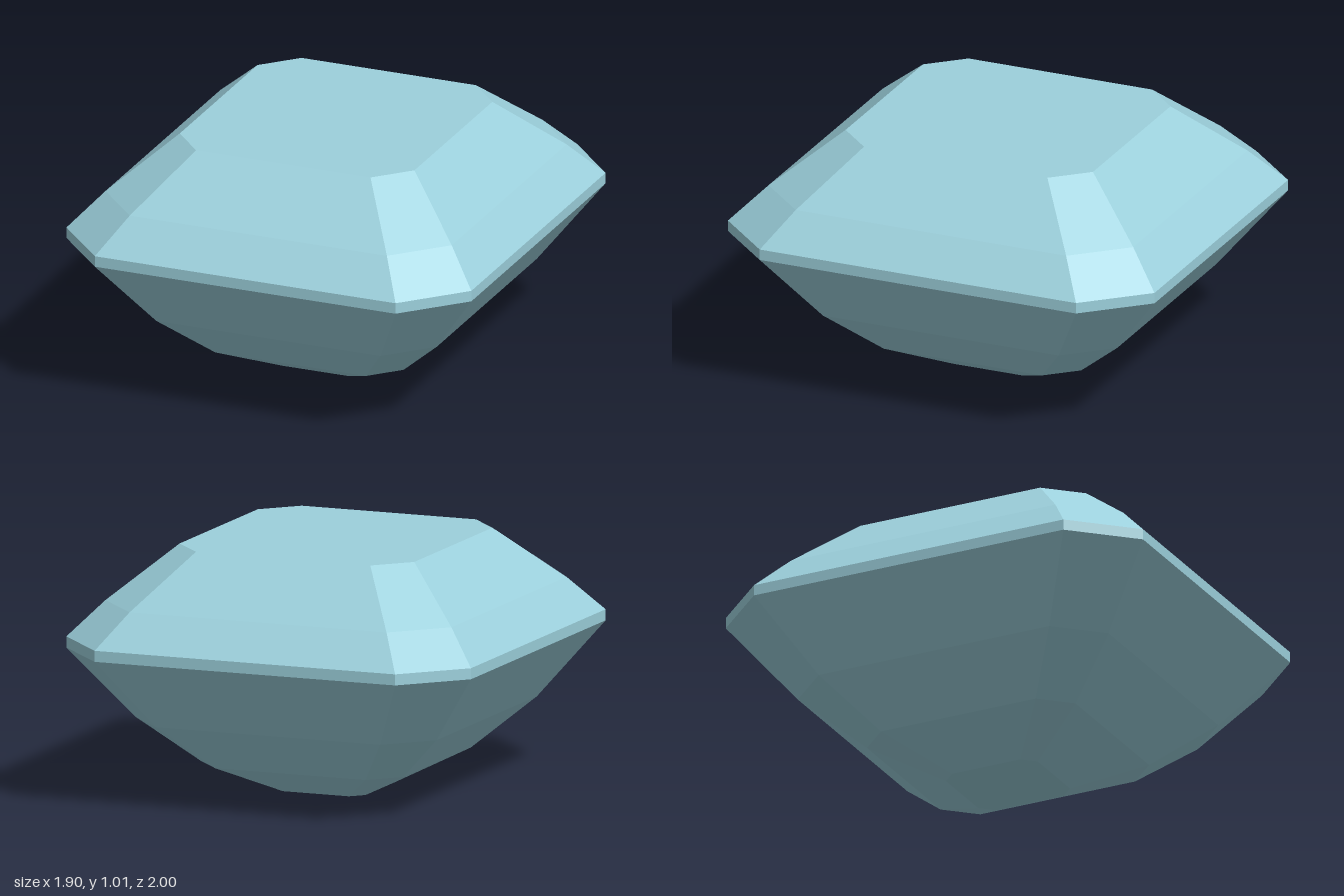
import * as THREE from 'three';

// Half of the eight-cornered outline at the girdle (x, z); the rest is its half turn.
const half = [[-0.548, -1], [0.75, -0.858], [0.948, -0.592], [0.8, 0.785]];
const outline = [...half, ...half.map(([x, z]) => [-x, -z])];

// Rings of the cut: [scale of the outline, height]
const pavilionRings = [[0.22, 0], [0.5, 0.125], [0.745, 0.32], [1, 0.615]];
const girdleRings = [[1, 0.615], [1, 0.66]];
const crownRings = [[1, 0.66], [0.855, 0.8], [0.58, 1.015]];

const corner = (i, [scale, y]) => {
  const [x, z] = outline[i % outline.length];
  return [x * scale, y, z * scale];
};

function facetGeometry(positions) {
  const geometry = new THREE.BufferGeometry();
  geometry.setAttribute('position', new THREE.Float32BufferAttribute(positions.flat(), 3));
  geometry.computeVertexNormals();
  return geometry;
}

// Flat facets joining each ring to the one above it
function bands(rings) {
  const positions = [];
  for (let r = 0; r < rings.length - 1; r++) {
    for (let i = 0; i < outline.length; i++) {
      const a = corner(i, rings[r]), b = corner(i + 1, rings[r]);
      const c = corner(i, rings[r + 1]), d = corner(i + 1, rings[r + 1]);
      positions.push(a, c, b, b, c, d);
    }
  }
  return facetGeometry(positions);
}

// Flat face closing a ring, facing up or down
function cap(ring, up) {
  const positions = [];
  for (let i = 0; i < outline.length; i++) {
    const a = corner(i, ring), b = corner(i + 1, ring);
    positions.push([0, ring[1], 0], up ? b : a, up ? a : b);
  }
  return facetGeometry(positions);
}

export function createModel() {
  const group = new THREE.Group();
  group.name = 'stepCutGem';
  const material = new THREE.MeshStandardMaterial({ color: 0x9cd0dc });
  material.name = 'paleAqua';

  const add = (name, geometry) => {
    const mesh = new THREE.Mesh(geometry, material);
    mesh.name = name;
    group.add(mesh);
  };

  add('culet', cap(pavilionRings[0], false));
  add('pavilion', bands(pavilionRings));
  add('girdle', bands(girdleRings));
  add('crown', bands(crownRings));
  add('table', cap(crownRings[2], true));
  return group;
}
